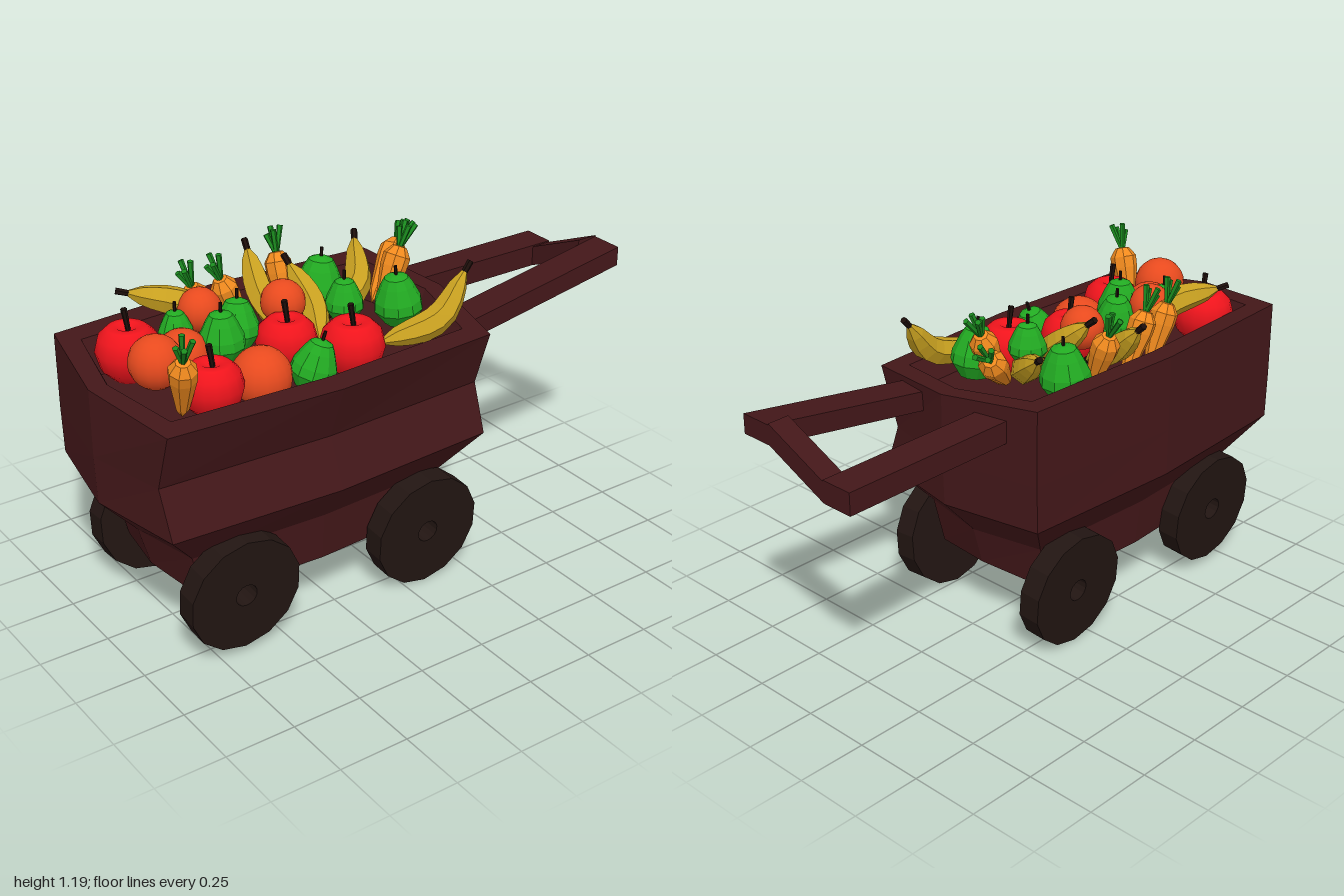
import * as THREE from 'three';

const mat = (color, flatShading = true, side = THREE.FrontSide) =>
  new THREE.MeshStandardMaterial({ color, flatShading, side });
const M = {
  wood: mat(0x431719), tyre: mat(0x221512), apple: mat(0xf0141c, false), orange: mat(0xe84a1e, false),
  pear: mat(0x22aa22), banana: mat(0xc8a020), carrot: mat(0xf08a1e), leaf: mat(0x1a8a1e), stem: mat(0x1c0e0a),
};
const V = (a) => new THREE.Vector3(...a);
const UP = new THREE.Vector3(0, 1, 0);

function add(parent, name, geo, material, pos = [0, 0, 0]) {
  const m = new THREE.Mesh(geo, material);
  m.name = name;
  m.position.set(...pos);
  parent.add(m);
  return m;
}

function holder(parent, name, pos, dir = [0, 1, 0]) {
  const g = new THREE.Group();
  g.name = name;
  g.position.set(...pos);
  g.quaternion.setFromUnitVectors(UP, V(dir).normalize());
  parent.add(g);
  return g;
}

const lathe = (pts, n) => new THREE.LatheGeometry(pts.map(([x, y]) => new THREE.Vector2(x, y)), n);

// Tub: eight-sided rings from the inner floor, over the rim, down to the keel
function tubGeometry() {
  const outline = [[-1, 0], [-0.9, -0.91], [0, -1], [0.9, -0.91], [1, 0], [0.9, 0.91], [0, 1], [-0.9, 0.91]];
  // y, half length, back half width, front half width, slope across z, sag toward the middle
  const rings = [
    [0.84, 0, 0, 0, 0, 0], [0.84, 0.58, 0.27, 0.27, 0, 0], [0.94, 0.625, 0.315, 0.315, -0.085, 0],
    [0.94, 0.69, 0.40, 0.40, -0.085, 0], [0.70, 0.69, 0.40, 0.32, 0, 0], [0.53, 0.685, 0.40, 0.39, 0, 0],
    [0.38, 0.55, 0.29, 0.28, 0, 0], [0.235, 0.51, 0.27, 0.265, 0, 0.03], [0.19, 0, 0, 0, 0, 0],
  ];
  const pos = [], index = [];
  for (const [y, hx, back, front, slope, sag] of rings)
    for (const [u, w] of outline) {
      const z = w * (w < 0 ? back : front);
      pos.push(-0.31 + u * hx, y + slope * z - sag * Math.abs(w), z);
    }
  for (let j = 0; j < rings.length - 1; j++)
    for (let i = 0; i < 8; i++) {
      const a = j * 8 + i, b = j * 8 + (i + 1) % 8;
      index.push(a, b, b + 8, a, b + 8, a + 8);
    }
  const g = new THREE.BufferGeometry();
  g.setAttribute('position', new THREE.Float32BufferAttribute(pos, 3));
  g.setIndex(index);
  g.computeVertexNormals();
  return g;
}

// Box between two corners, its height shifted by a rule
function shearedBox(min, max, rise) {
  const a = V(min), b = V(max), s = b.clone().sub(a), c = a.clone().add(b).multiplyScalar(0.5);
  const g = new THREE.BoxGeometry(s.x, s.y, s.z).translate(c.x, c.y, c.z);
  const p = g.attributes.position;
  for (let i = 0; i < p.count; i++) p.setY(i, p.getY(i) + rise(p.getX(i), p.getZ(i)));
  g.computeVertexNormals();
  return g;
}

function apple(parent, pos, r) {
  const g = holder(parent, 'apple', pos);
  const prof = [[0, -0.8], [0.45, -0.85], [0.85, -0.45], [1, 0.1], [0.88, 0.55], [0.6, 0.82], [0.35, 0.85], [0, 0.65]];
  add(g, 'appleFlesh', lathe(prof, 16), M.apple).scale.setScalar(r);
  add(g, 'appleStem', new THREE.CylinderGeometry(0.011, 0.008, 0.09, 6), M.stem, [0, r * 0.65 + 0.04, 0]).rotation.z = 0.15;
}

function pear(parent, pos, r, dir) {
  const g = holder(parent, 'pear', pos, dir);
  const prof = [[0, -0.95], [0.6, -0.8], [1, -0.2], [0.95, 0.2], [0.68, 0.8], [0.48, 1.15], [0.2, 1.27], [0, 1.27]];
  add(g, 'pearFlesh', lathe(prof, 10), M.pear).scale.setScalar(r);
  add(g, 'pearStem', new THREE.CylinderGeometry(0.006, 0.006, 0.04, 5), M.stem, [0, r * 1.27 + 0.012, 0]);
}

function carrot(parent, crown, dir) {
  const g = holder(parent, 'carrot', crown, dir);
  add(g, 'carrotRoot', lathe([[0, -0.24], [0.022, -0.2], [0.047, -0.06], [0.048, -0.02], [0.025, 0.012], [0, 0.015]], 8), M.carrot);
  for (let i = 0; i < 4; i++) {
    const a = i * Math.PI / 2 + 0.4, len = 0.1 - 0.012 * (i % 3);
    const leaf = holder(g, 'carrotLeaf', [0, 0, 0], [Math.cos(a) * 0.3, 1, Math.sin(a) * 0.3]);
    add(leaf, 'leafBlade', new THREE.CylinderGeometry(0.011, 0.008, len, 5), M.leaf, [0, len / 2 + 0.005, 0]);
  }
}

// Banana: a tube along a bent path, pinched toward both ends
function banana(parent, from, mid, to) {
  const g = holder(parent, 'banana', [0, 0, 0]);
  const curve = new THREE.CatmullRomCurve3([V(from), V(mid), V(to)]);
  const n = 8, sides = 6, geo = new THREE.TubeGeometry(curve, n, 0.05, sides);
  const p = geo.attributes.position, v = new THREE.Vector3();
  for (let i = 0; i < p.count; i++) {
    const t = Math.floor(i / (sides + 1)) / n, c = curve.getPointAt(t);
    const k = 0.22 + 0.78 * Math.pow(Math.sin(Math.PI * t), 0.65);
    v.fromBufferAttribute(p, i).sub(c).multiplyScalar(k).add(c);
    p.setXYZ(i, v.x, v.y, v.z);
  }
  geo.computeVertexNormals();
  add(g, 'bananaSkin', geo, M.banana);
  for (const [t, s, len] of [[0, -1, 0.015], [1, 1, 0.045]]) {
    const tip = holder(g, 'bananaTip', curve.getPointAt(t).toArray(), curve.getTangentAt(t).multiplyScalar(s).toArray());
    add(tip, 'tipStub', new THREE.CylinderGeometry(0.012, 0.011, len, 6), M.stem, [0, len / 2 - 0.003, 0]);
  }
}

export function createModel() {
  const root = new THREE.Group();
  root.name = 'produceCart';
  add(root, 'tub', tubGeometry(), M.wood);

  // Pull handle: the left arm rises, the right arm stays level, a slanted grip joins them
  const handle = holder(root, 'handle', [0, 0, 0]);
  const lift = 0.11;
  add(handle, 'leftArm', shearedBox([0.3, 0.83, 0.115], [1, 0.9, 0.235], (x) => lift * (x - 0.33) / 0.67), M.wood);
  add(handle, 'rightArm', shearedBox([0.3, 0.83, -0.25], [1, 0.91, -0.13], () => 0), M.wood);
  add(handle, 'grip', shearedBox([0.92, 0.83, -0.13], [1, 0.905, 0.115], (x, z) => lift * (z + 0.13) / 0.245), M.wood);

  // Four leaning wheels with open hubs
  const tyre = lathe([[0.04, -0.041], [0.208, -0.041], [0.208, 0.041], [0.04, 0.041], [0.04, -0.041]], 14);
  for (const [x, y] of [[-0.66, 0.235], [0.08, 0.211]])
    for (const s of [1, -1])
      add(root, s > 0 ? 'leftWheel' : 'rightWheel', tyre, M.tyre, [x, y, s * 0.304]).rotation.x = Math.PI / 2 + s * 0.07;

  // Produce load
  const load = holder(root, 'produce', [0, 0, 0]);
  for (const [x, y, z, r] of [[-0.76, 0.93, -0.18, 0.11], [-0.65, 0.91, 0.16, 0.105], [-0.29, 0.92, 0.04, 0.105], [-0.11, 0.9, 0.16, 0.112]])
    apple(load, [x, y, z], r);
  for (const [x, y, z, r] of [[-0.78, 0.99, 0.04, 0.09], [-0.65, 0.95, -0.02, 0.09], [-0.46, 0.89, 0.15, 0.102],
    [-0.51, 1.03, -0.14, 0.075], [-0.23, 1.01, -0.07, 0.077]])
    add(load, 'orange', new THREE.SphereGeometry(r, 16, 12), M.orange, [x, y, z]);
  for (const [x, y, z, r, dx, dz] of [[0.01, 0.95, -0.21, 0.09, 0.1, 0], [-0.03, 0.98, 0, 0.068, 0, 0], [0.13, 0.97, 0.09, 0.085, -0.1, 0],
    [-0.29, 0.89, 0.2, 0.08, 0.3, 0.1], [-0.52, 0.98, 0.01, 0.08, 0, 0], [-0.42, 0.97, -0.06, 0.08, 0.1, -0.1], [-0.62, 0.99, -0.11, 0.06, 0, 0]])
    pear(load, [x, y, z], r, [dx, 1, dz]);
  carrot(load, [-0.79, 1.06, 0.23], [-0.15, 1, 0.35]);
  carrot(load, [-0.48, 1.06, -0.235], [-0.35, 1, -0.05]);
  carrot(load, [-0.37, 1.06, -0.23], [-0.4, 1, -0.05]);
  carrot(load, [-0.11, 1.07, -0.29], [0.05, 1, -0.4]);
  carrot(load, [0.22, 1.1, -0.03], [0.5, 1, -0.12]);
  carrot(load, [0.29, 1.07, -0.14], [0.8, 0.75, -0.4]);
  banana(load, [-0.42, 0.96, -0.2], [-0.54, 1.04, -0.2], [-0.69, 1.08, -0.29]);
  banana(load, [-0.23, 0.9, -0.1], [-0.22, 0.97, -0.22], [-0.19, 1.09, -0.35]);
  banana(load, [-0.17, 0.9, 0.06], [-0.12, 0.97, -0.05], [-0.13, 1.08, -0.18]);
  banana(load, [-0.06, 0.93, -0.04], [0.1, 0.97, -0.11], [0.19, 1.07, -0.25]);
  banana(load, [-0.03, 0.92, 0.22], [0.18, 0.96, 0.25], [0.3, 1.09, 0.23]);
  return root;
}
